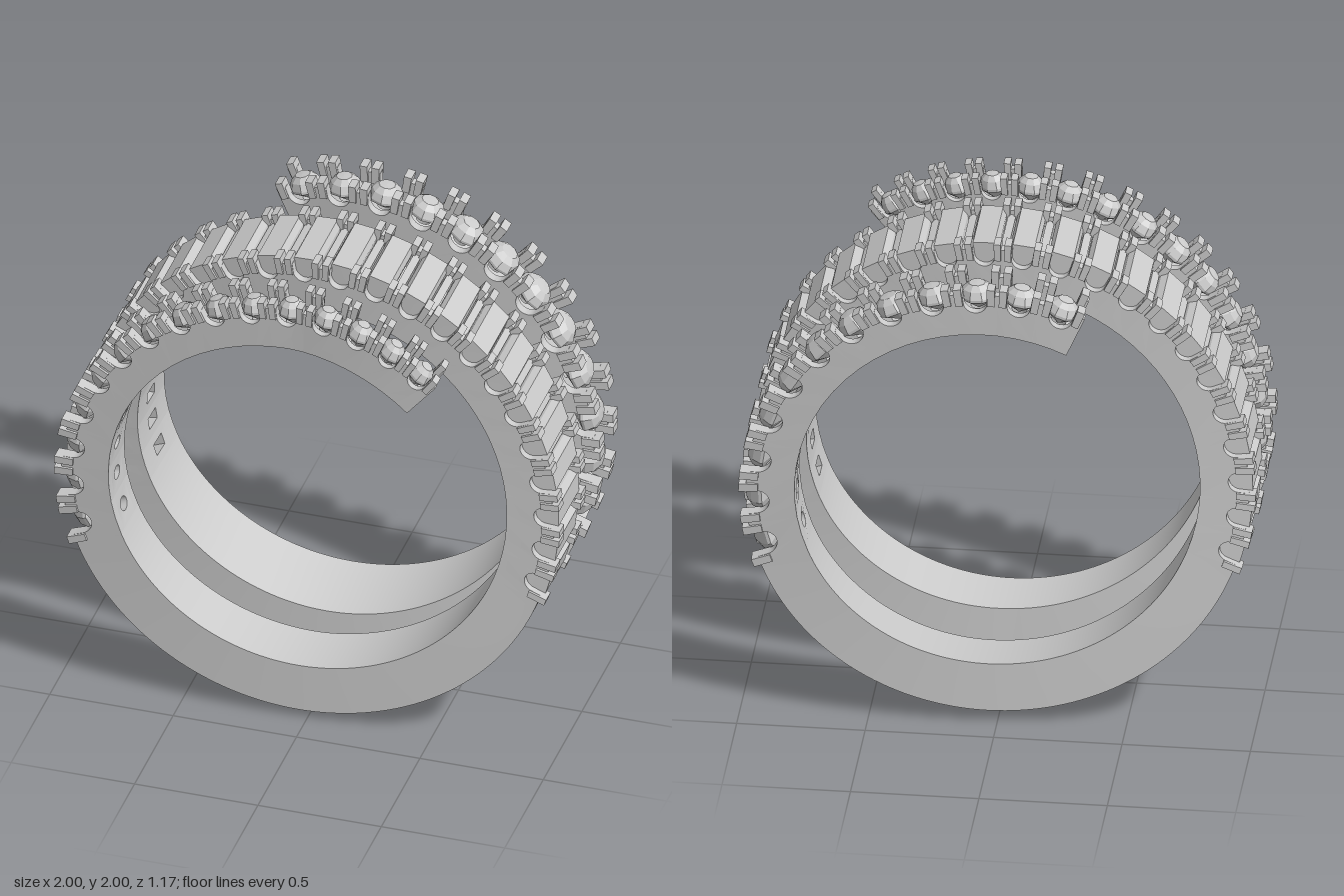
import * as THREE from 'three';
import { toCreasedNormals } from 'three/addons/utils/BufferGeometryUtils.js';

// Spiral path: [angle from the top in degrees, centre z, band width]
const PATH = [
  [-382, -0.49, 0.18], [-360, -0.46, 0.19], [-270, -0.36, 0.23], [-180, -0.23, 0.29],
  [-90, -0.11, 0.33], [0, 0, 0.37], [90, 0.11, 0.32], [180, 0.235, 0.25],
  [270, 0.34, 0.21], [360, 0.425, 0.155], [397, 0.5, 0.14],
];
const DEG_PER_UNIT = 180 / Math.PI / 0.93; // arc length to degrees
const INNER = 0.78, FLOOR = 0.87, RIM = 0.97;

function along(phi, column) {
  let i = 0;
  while (i < PATH.length - 2 && phi > PATH[i + 1][0]) i++;
  const a = PATH[i], b = PATH[i + 1];
  return a[column] + (b[column] - a[column]) * (phi - a[0]) / (b[0] - a[0]);
}

// Bends a flat piece (x = arc length, y = radius, z = across) onto the spiral
function bend(geometry, phi0, crease = 0.5) {
  const p = geometry.attributes.position;
  const w0 = along(phi0, 2);
  for (let i = 0; i < p.count; i++) {
    const phi = phi0 + p.getX(i) * DEG_PER_UNIT;
    const v = p.getZ(i) / w0;
    const swell = Math.exp(-(((phi + 180) / 60) ** 2)) * (0.008 + 0.05 * v);
    const r = p.getY(i) + swell;
    const lift = 0.015 * THREE.MathUtils.clamp((RIM - p.getY(i)) / 0.19, 0, 1);
    const a = THREE.MathUtils.degToRad(phi);
    p.setXYZ(i, r * Math.sin(a), 1 + r * Math.cos(a) + lift, along(phi, 1) + v * along(phi, 2));
  }
  return toCreasedNormals(geometry, crease);
}

const material = new THREE.MeshStandardMaterial({ color: 0xcccccc });

function add(group, name, geometry, phi, crease) {
  const mesh = new THREE.Mesh(bend(geometry, phi, crease), material);
  mesh.name = name;
  group.add(mesh);
}

function extrude(shape, depth) {
  return new THREE.ExtrudeGeometry(shape, { depth, bevelEnabled: false, curveSegments: 10 });
}

// Seat floor pierced by a round or square window
function seatFloor(pitch, halfWidth, square) {
  const h = pitch / 2;
  const s = new THREE.Shape();
  s.moveTo(-h, -halfWidth);
  s.lineTo(0, -halfWidth).lineTo(h, -halfWidth);
  s.lineTo(h, halfWidth).lineTo(0, halfWidth).lineTo(-h, halfWidth);
  const hole = new THREE.Path();
  if (square) {
    hole.moveTo(-0.03, -0.045);
    hole.lineTo(-0.03, 0.045).lineTo(0.03, 0.045).lineTo(0.03, -0.045);
  } else hole.absarc(0, 0, pitch * 0.19, 0, Math.PI * 2, true);
  s.holes.push(hole);
  return extrude(s, FLOOR - INNER).rotateX(-Math.PI / 2).translate(0, INNER, 0);
}

// Side wall with a U-shaped scallop
function seatWall(pitch, thickness) {
  const h = pitch / 2, n = pitch * 0.27;
  const s = new THREE.Shape();
  s.moveTo(-h, INNER);
  s.lineTo(0, INNER).lineTo(h, INNER).lineTo(h, RIM).lineTo(n, RIM);
  s.lineTo(n, 0.93);
  s.absarc(0, 0.93, n, 0, Math.PI, true);
  s.lineTo(-n, RIM).lineTo(-h, RIM);
  return extrude(s, thickness).translate(0, 0, -thickness / 2);
}

function roundStone(g) {
  const profile = [[0, -0.07], [g, -0.012], [g, 0], [g * 0.8, 0.03], [g * 0.45, 0.05], [0, 0.052]];
  return new THREE.LatheGeometry(profile.map(([x, y]) => new THREE.Vector2(x, y)), 9)
    .translate(0, 0.925, 0);
}

function baguetteStone(pitch, length) {
  const a = pitch * 0.36;
  const s = new THREE.Shape();
  s.moveTo(-a * 0.6, 0.86);
  s.lineTo(a * 0.6, 0.86).lineTo(a, 0.93).lineTo(a, 0.955).lineTo(a * 0.75, 0.982);
  s.lineTo(-a * 0.75, 0.982).lineTo(-a, 0.955).lineTo(-a, 0.93);
  return extrude(s, length).translate(0, 0, -length / 2);
}

// A run of seats whose pitch grows evenly from one end to the other
function settingRun(name, from, to, count, growth, baguette) {
  const group = new THREE.Group();
  group.name = name;
  const bound = (i) => {
    const t = i / count;
    return from + (to - from) * (t + growth * t * (t - 1) / 2);
  };
  for (let i = 0; i < count; i++) {
    const phi = (bound(i) + bound(i + 1)) / 2;
    const pitch = Math.abs(bound(i + 1) - bound(i)) / DEG_PER_UNIT;
    const w = along(phi, 2);
    const wall = w * (baguette ? 0.12 : 0.19);
    const offset = w / 2 - wall / 2;

    add(group, 'seatFloor', seatFloor(pitch, w / 2 - wall, baguette), phi);
    if (baguette) {
      add(group, 'baguetteStone', baguetteStone(pitch, w - wall * 1.5), phi, 0.1);
      // divider bars between neighbouring stones
      for (const end of [-1, 1]) {
        const bar = new THREE.BoxGeometry(pitch * 0.1, 0.09, w - 2 * wall);
        add(group, 'divider', bar.translate(end * pitch * 0.45, 0.905, 0), phi);
      }
    } else add(group, 'roundStone', roundStone(Math.min(w * 0.37, pitch * 0.47)), phi, 0.1);

    for (const side of [-1, 1]) {
      add(group, 'scallopedWall', seatWall(pitch, wall).translate(0, 0, side * offset), phi);
      // a prong on each shoulder of the scallop
      for (const end of [-1, 1]) {
        const prong = new THREE.BoxGeometry(pitch * 0.17, 0.075, wall + 0.022);
        add(group, 'prong', prong.translate(end * pitch * 0.365, 0.96, side * offset), phi);
      }
    }
  }
  return group;
}

// Plain polished part of the band
function plainBand(name, phi) {
  const group = new THREE.Group();
  group.name = name;
  const band = new THREE.BoxGeometry(140 / DEG_PER_UNIT, RIM - INNER, along(phi, 2), 70, 1, 4);
  add(group, 'plainBand', band.translate(0, (RIM + INNER) / 2, 0), phi);
  return group;
}

export function createModel() {
  const model = new THREE.Group();
  model.name = 'spiralRing';
  model.add(
    settingRun('frontRoundSetting', 397, 250, 15, 0.3, false),
    plainBand('frontLowerBand', 180),
    settingRun('middleBaguetteSetting', -110, 110, 24, 0, true),
    plainBand('backLowerBand', -180),
    settingRun('backRoundSetting', -382, -250, 12, 0.13, false),
  );
  return model;
}
